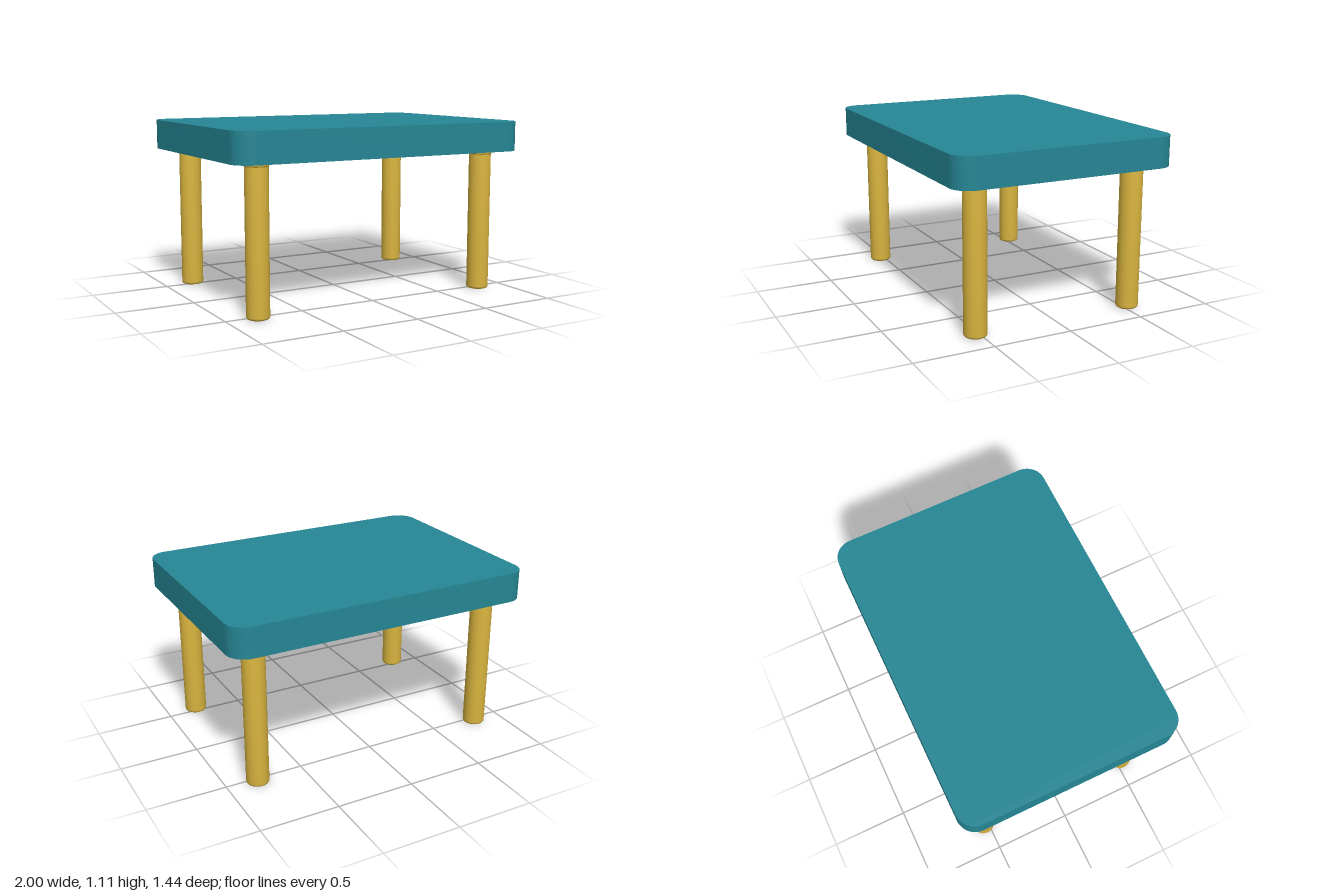
import * as THREE from 'three';
import { toCreasedNormals } from 'three/addons/utils/BufferGeometryUtils.js';

const teal = new THREE.MeshStandardMaterial({ color: 0x258694 });
teal.name = 'teal';
const mustard = new THREE.MeshStandardMaterial({ color: 0xdcb740 });
mustard.name = 'mustard';

const HALF_X = 1, HALF_Z = 0.72, CORNER = 0.12;
const TOP_BOTTOM = 0.92, TOP_THICK = 0.19;
const LEG_X = 0.805, LEG_Z = 0.53;

// Rectangle with rounded corners, drawn counter-clockwise
function roundedRect(a, b, r) {
  const s = new THREE.Shape();
  s.absarc(a - r, b - r, r, 0, Math.PI / 2);
  s.absarc(-a + r, b - r, r, Math.PI / 2, Math.PI);
  s.absarc(-a + r, -b + r, r, Math.PI, Math.PI * 1.5);
  s.absarc(a - r, -b + r, r, Math.PI * 1.5, Math.PI * 2);
  s.closePath();
  return s;
}

function lathe(points) {
  const profile = points.map(([r, y]) => new THREE.Vector2(r, y));
  return toCreasedNormals(new THREE.LatheGeometry(profile, 32), 0.7);
}

export function createModel() {
  const table = new THREE.Group();
  table.name = 'table';

  // Thick slab with rounded corners
  const slab = new THREE.ExtrudeGeometry(roundedRect(HALF_X, HALF_Z, CORNER), {
    depth: TOP_THICK, bevelEnabled: false, curveSegments: 12,
  });
  slab.rotateX(-Math.PI / 2);
  slab.translate(0, TOP_BOTTOM, 0);
  const tabletop = new THREE.Mesh(toCreasedNormals(slab, 0.5), teal);
  tabletop.name = 'tabletop';
  table.add(tabletop);

  // Round post with a softened foot, and a slim collar under the slab
  const postGeometry = lathe([
    [0, 0], [0.061, 0], [0.066, 0.003], [0.07, 0.009], [0.071, 0.016], [0.071, TOP_BOTTOM],
  ]);
  const collarGeometry = lathe([
    [0.07, 0.893], [0.073, 0.895], [0.075, 0.9], [0.076, 0.908], [0.075, 0.916], [0.074, TOP_BOTTOM],
  ]);

  for (const z of [1, -1]) {
    for (const x of [1, -1]) {
      const leg = new THREE.Group();
      leg.name = (z > 0 ? 'front' : 'back') + (x > 0 ? 'Left' : 'Right') + 'Leg';
      const post = new THREE.Mesh(postGeometry, mustard);
      post.name = 'post';
      const collar = new THREE.Mesh(collarGeometry, mustard);
      collar.name = 'collar';
      leg.add(post, collar);
      leg.position.set(x * LEG_X, 0, z * LEG_Z);
      table.add(leg);
    }
  }
  return table;
}
